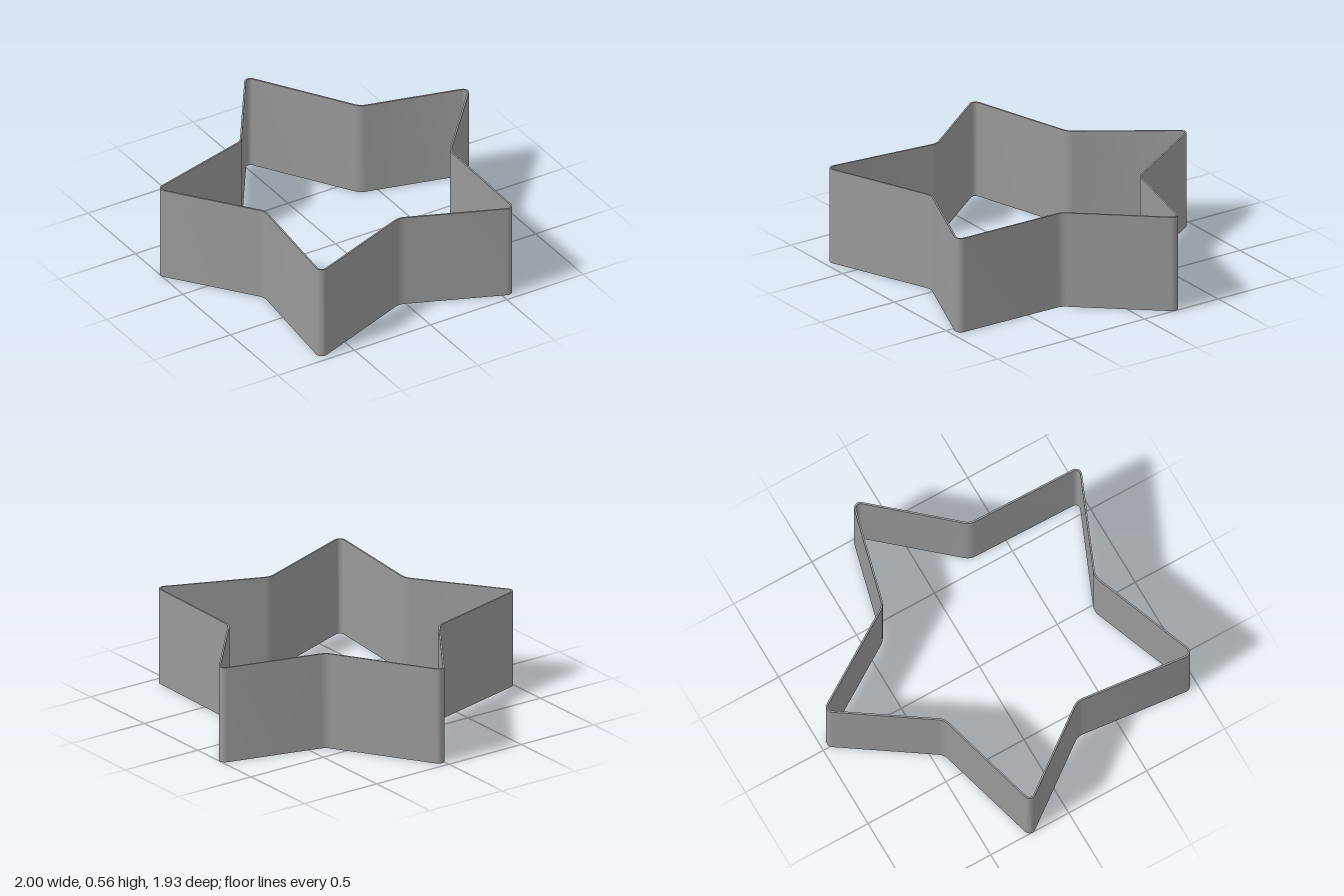
import * as THREE from 'three';
import { toCreasedNormals } from 'three/addons/utils/BufferGeometryUtils.js';

const HEIGHT = 0.565;
const WALL = 0.01;
const TIP_RADIUS = 0.035;
const NOTCH_RADIUS = 0.08;
const STEPS = 12;

// Sharp star corners as [x, z], tips and notches alternating
const CORNERS = [
  [0.023, -0.993], [0.405, -0.392],
  [1.028, -0.229], [0.586, 0.275],
  [0.573, 0.98], [-0.035, 0.725],
  [-0.709, 0.98], [-0.633, 0.268],
  [-1.025, -0.253], [-0.359, -0.431],
].map(([x, z]) => new THREE.Vector2(x, -z));

// Rounds every corner; inset shifts the outline towards the inside of the star
function starOutline(inset) {
  const points = [];
  const n = CORNERS.length;
  CORNERS.forEach((corner, i) => {
    const a = CORNERS[(i + n - 1) % n].clone().sub(corner).normalize();
    const b = CORNERS[(i + 1) % n].clone().sub(corner).normalize();
    const bisector = a.clone().add(b).normalize();
    const half = Math.acos(a.dot(b)) / 2;
    const isTip = i % 2 === 0;
    const radius = isTip ? TIP_RADIUS : NOTCH_RADIUS;
    const centre = corner.clone().addScaledVector(bisector, radius / Math.sin(half));
    const r = isTip ? radius - inset : radius + inset;
    const middle = Math.atan2(-bisector.y, -bisector.x);
    const sweep = (Math.PI / 2 - half) * (isTip ? -1 : 1);
    for (let k = 0; k <= STEPS; k++) {
      const angle = middle + sweep * (2 * k / STEPS - 1);
      points.push(new THREE.Vector2(centre.x + r * Math.cos(angle), centre.y + r * Math.sin(angle)));
    }
  });
  return points;
}

export function createModel() {
  const group = new THREE.Group();
  group.name = 'starCutter';

  const greyMetal = new THREE.MeshStandardMaterial({ color: 0x999999 });
  greyMetal.name = 'greyMetal';

  // Thin upright wall following the star, open above and below;
  // the hole runs the other way round so its faces look inwards
  const shape = new THREE.Shape(starOutline(0));
  shape.holes.push(new THREE.Path(starOutline(WALL).reverse()));
  const extruded = new THREE.ExtrudeGeometry(shape, { depth: HEIGHT, bevelEnabled: false });
  extruded.rotateX(-Math.PI / 2);

  const wall = new THREE.Mesh(toCreasedNormals(extruded, 0.6), greyMetal);
  wall.name = 'starWall';
  group.add(wall);
  return group;
}
